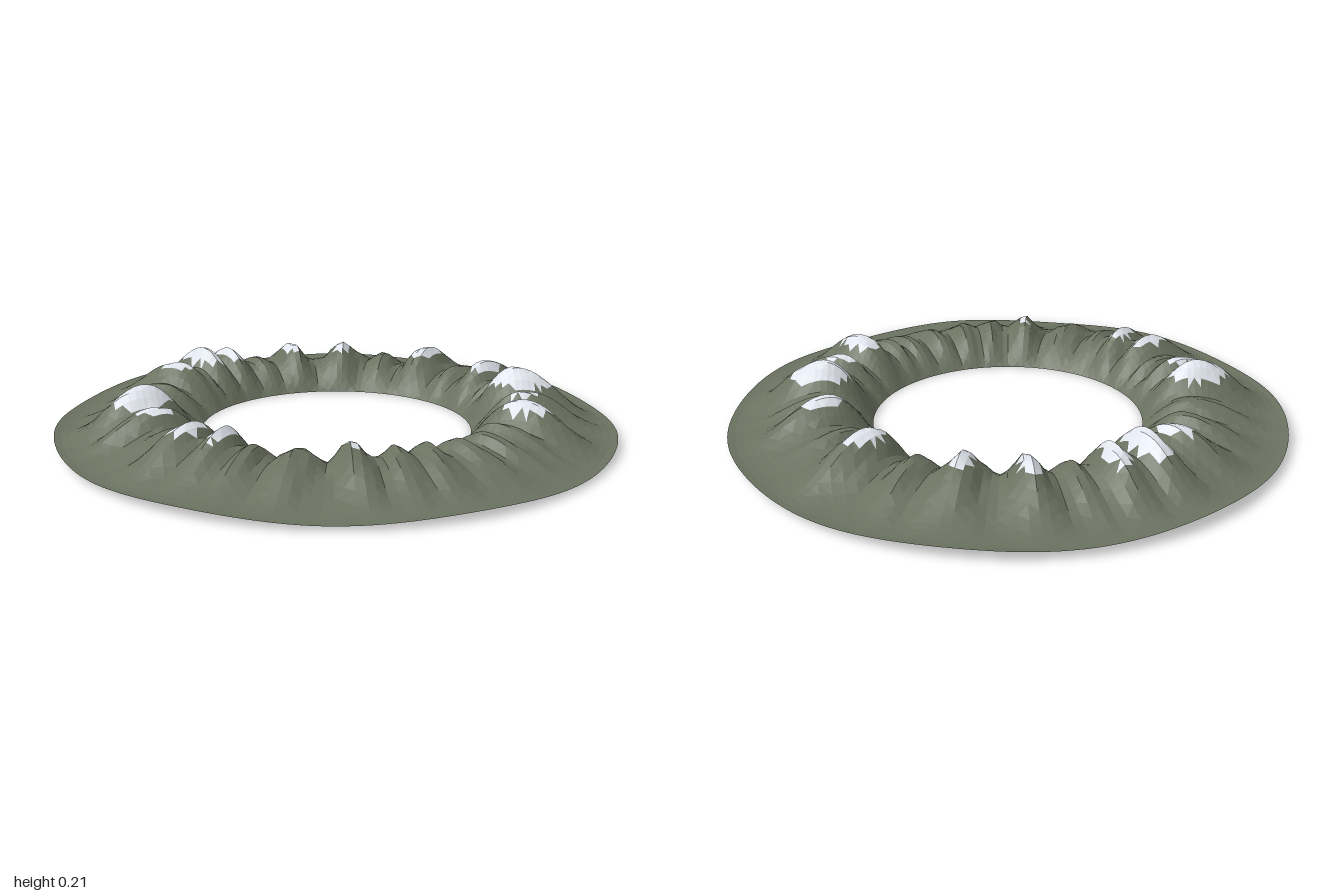
import * as THREE from 'three';

const INNER = 0.49, OUTER = 1, SNOW_LINE = 0.143;
const SEGMENTS = 168, RINGS = 22;

// Peaks: x, z, height, ridge half width
const snowPeaks = [
  [-0.25, -0.65, 0.165, 0.07], [-0.09, -0.69, 0.195, 0.065], [0.035, -0.69, 0.175, 0.06],
  [0.29, -0.58, 0.163, 0.06], [0.44, -0.45, 0.163, 0.07], [0.62, -0.16, 0.175, 0.065],
  [0.62, 0.15, 0.173, 0.065], [0.54, 0.39, 0.205, 0.095], [0.43, 0.52, 0.158, 0.055],
  [0.29, 0.63, 0.18, 0.075], [-0.39, 0.5, 0.152, 0.055], [-0.62, 0.16, 0.165, 0.065],
  [-0.7, 0.05, 0.168, 0.065], [-0.65, -0.18, 0.165, 0.055], [-0.62, -0.32, 0.2, 0.085],
];
const bareRidges = [
  [0.06, 0.62, 0.115, 0.04], [0.15, 0.61, 0.125, 0.045], [-0.06, 0.63, 0.115, 0.05],
  [-0.18, 0.61, 0.125, 0.05], [-0.28, 0.58, 0.13, 0.05], [-0.53, 0.4, 0.13, 0.06],
  [-0.61, 0.27, 0.125, 0.05], [-0.38, -0.52, 0.125, 0.06], [-0.5, -0.44, 0.12, 0.05],
  [0.15, -0.61, 0.125, 0.045], [0.55, -0.33, 0.125, 0.05], [0.63, 0, 0.115, 0.05],
  [-0.65, -0.06, 0.12, 0.04], [0.6, 0.26, 0.125, 0.04], [-0.17, -0.62, 0.135, 0.04],
];
const peaks = [...snowPeaks, ...bareRidges].map(([x, z, height, width]) => ({
  angle: Math.atan2(z, x), radius: Math.hypot(x, z), height, width,
}));

// Steep inner slope up to the crest, long gentle slope out to the rim
function slope(r, crest) {
  if (r < crest) return Math.sin(((r - INNER) / (crest - INNER)) * Math.PI / 2);
  return 0.5 - 0.5 * Math.cos(((OUTER - r) / (OUTER - crest)) * Math.PI);
}

function terrainHeight(angle, r) {
  const floor = 0.072 * slope(r, 0.66);
  let rise = 0;
  for (const p of peaks) {
    let d = angle - p.angle + 0.12 * Math.sin(p.angle * 9) * (r - p.radius);
    d = Math.atan2(Math.sin(d), Math.cos(d)) * 0.65;
    const ridge = (p.height - 0.072) * slope(r, p.radius) * Math.exp(-((d / p.width) ** 2));
    rise = Math.max(rise, ridge);
  }
  // Fine gullies and an uneven outer rim
  const gullies = 0.004 * Math.sin(angle * 41 + r * 14) + 0.003 * Math.sin(angle * 67 - r * 23);
  const t = (r - INNER) / (OUTER - INNER);
  const rim = 0.027 + 0.006 * Math.sin(angle * 7 + 1) - 0.007 * Math.sin(angle);
  return floor + rise + gullies * slope(r, 0.66) + rim * t ** 3;
}

function gridPoint(i, j) {
  const angle = ((i % SEGMENTS) / SEGMENTS) * Math.PI * 2;
  const r = INNER + (OUTER - INNER) * (j / RINGS) ** 1.15;
  return [r * Math.cos(angle), Math.max(0, terrainHeight(angle, r)), r * Math.sin(angle)];
}

function surface(name, positions, color) {
  const geometry = new THREE.BufferGeometry();
  geometry.setAttribute('position', new THREE.Float32BufferAttribute(positions, 3));
  geometry.computeVertexNormals();
  const mesh = new THREE.Mesh(geometry, new THREE.MeshStandardMaterial({
    color, flatShading: true, side: THREE.DoubleSide,
  }));
  mesh.name = name;
  return mesh;
}

export function createModel() {
  const slopes = [], snow = [];
  // Each facet goes to the snow caps or the slopes by its mean height
  const addFacet = (a, b, c) => {
    const high = (a[1] + b[1] + c[1]) / 3 > SNOW_LINE;
    (high ? snow : slopes).push(...a, ...b, ...c);
  };
  for (let i = 0; i < SEGMENTS; i++) {
    for (let j = 0; j < RINGS; j++) {
      const a = gridPoint(i, j), b = gridPoint(i + 1, j);
      const c = gridPoint(i + 1, j + 1), d = gridPoint(i, j + 1);
      if ((i + j) % 2) {
        addFacet(a, b, d);
        addFacet(b, c, d);
      } else {
        addFacet(a, b, c);
        addFacet(a, c, d);
      }
    }
  }
  const group = new THREE.Group();
  group.name = 'mountainRing';
  group.add(surface('mountainSlopes', slopes, 0x6b7260), surface('snowCaps', snow, 0xe0e4ec));
  return group;
}
